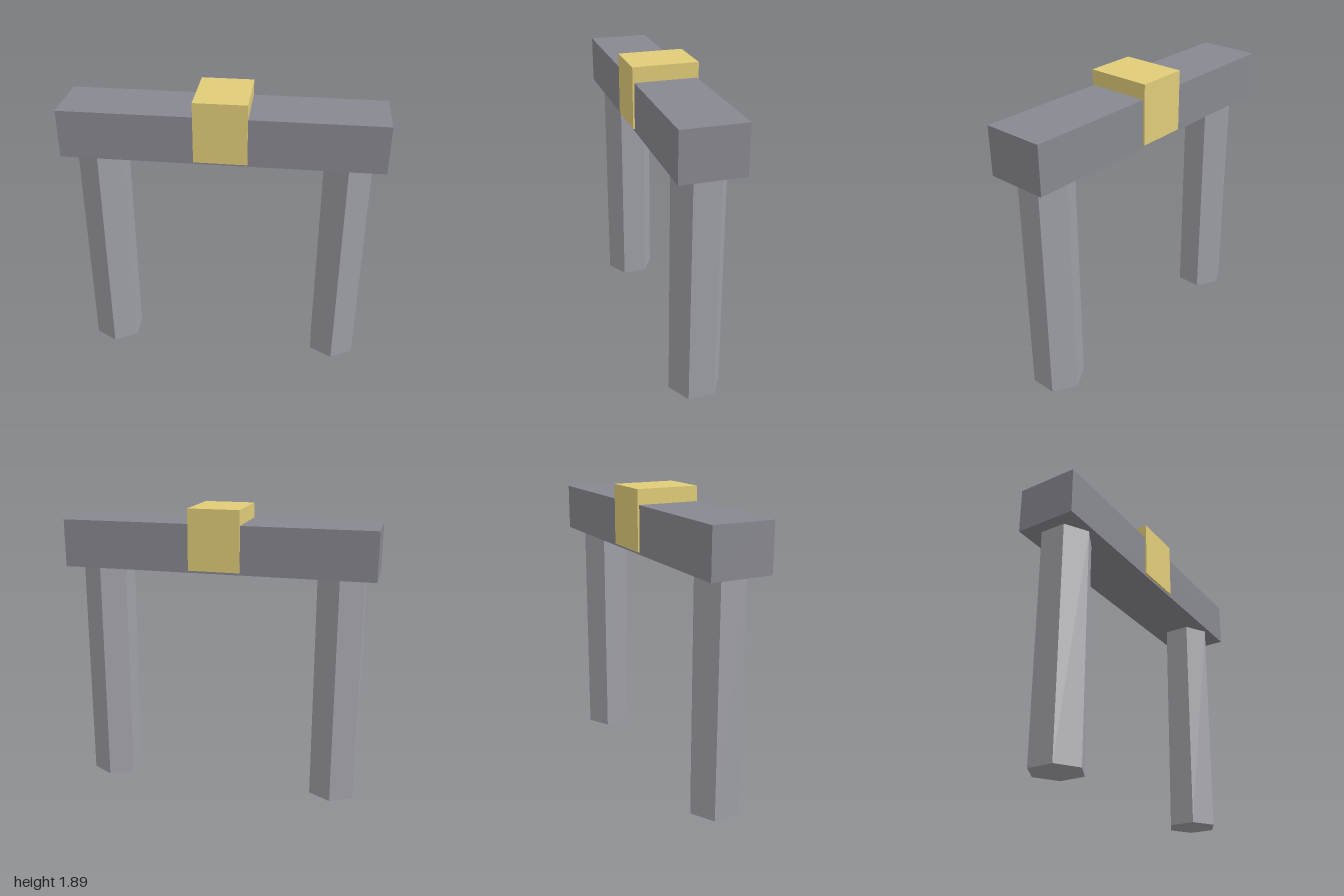
import * as THREE from 'three';

export function createModel() {
  const group = new THREE.Group();
  const add = (name, geometry, color, x, y, z = 0) => {
    const material = new THREE.MeshStandardMaterial({ color, flatShading: true });
    const mesh = new THREE.Mesh(geometry, material);
    mesh.name = name;
    mesh.position.set(x, y, z);
    group.add(mesh);
  };

  // Hexagonal pillars, with corners pointing to front and back
  const pillarHeight = 1.49;
  const pillar = new THREE.CylinderGeometry(0.167, 0.167, pillarHeight, 6);
  for (const [side, name] of [[1, 'leftPillar'], [-1, 'rightPillar']]) {
    add(name, pillar, 0xa0a0a8, side * 0.777, pillarHeight / 2);
  }

  // Lintel resting on the pillars
  const lintelHeight = 0.305;
  add('lintel', new THREE.BoxGeometry(2, lintelHeight, 0.394), 0x888890, 0, pillarHeight + lintelHeight / 2);

  // Keystone wrapping the middle of the lintel
  add('keystone', new THREE.BoxGeometry(0.33, 0.386, 0.416), 0xe0cc78, 0, 1.698);

  return group;
}
